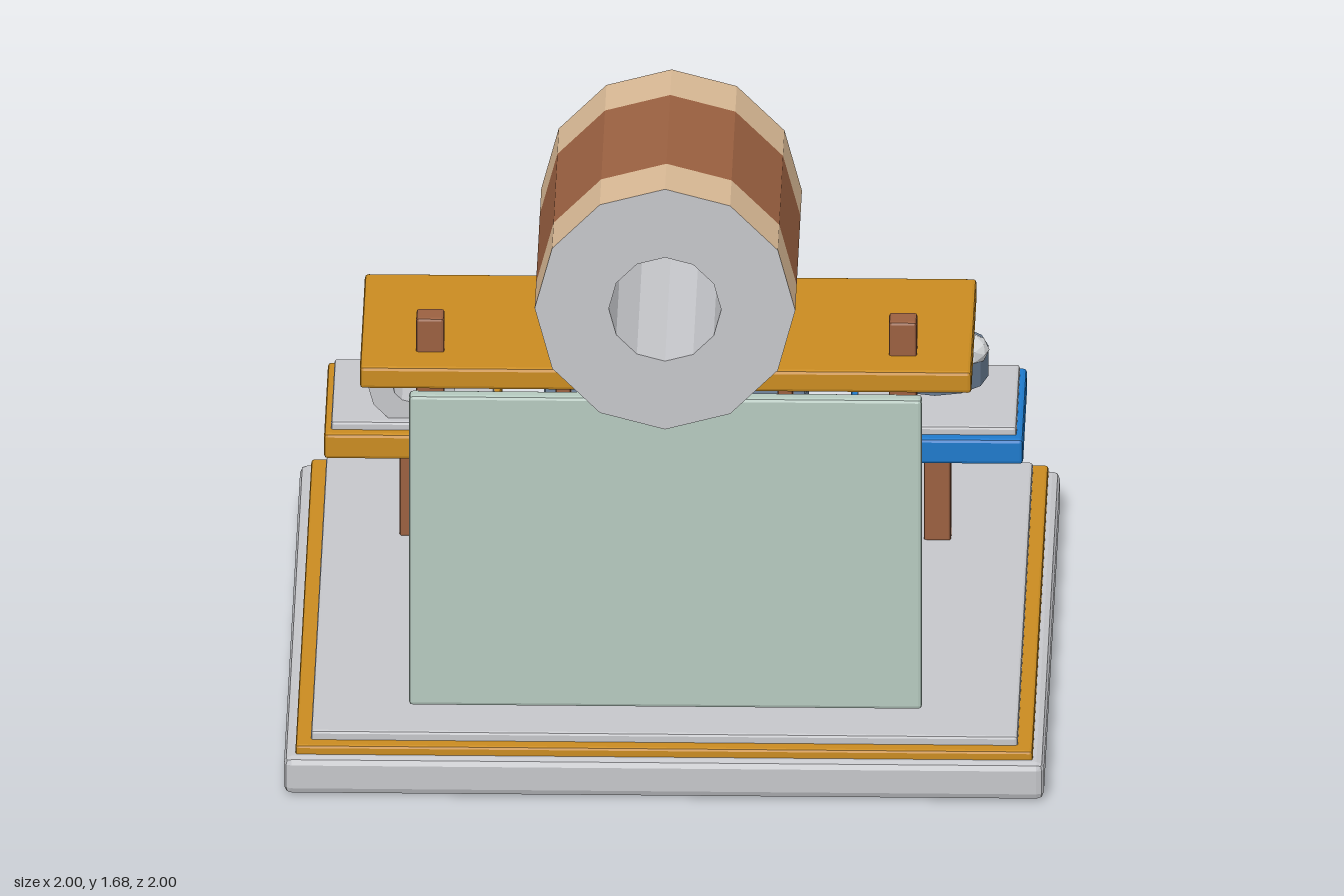
import * as THREE from 'three';
import { RoundedBoxGeometry } from 'three/addons/geometries/RoundedBoxGeometry.js';

const mat = (name, color, side = THREE.FrontSide) =>
  new THREE.MeshStandardMaterial({ name, color, flatShading: true, side });

export function createModel() {
  const grey = mat('paleGrey', 0xc5c6ca);
  const gold = mat('gold', 0xc98b20);
  const brown = mat('brown', 0x9a6040);
  const tan = mat('tan', 0xd8b894);
  const slate = mat('slateBlue', 0x65788e);
  const blue = mat('brightBlue', 0x1e7acb);
  const glass = mat('paleGreen', 0xb5c9bf);
  const white = mat('offWhite', 0xd6d8da);

  const model = new THREE.Group();
  model.name = 'workshopStand';

  const add = (name, geometry, material, x, y, z, parent = model) => {
    const mesh = new THREE.Mesh(geometry, material);
    mesh.name = name;
    mesh.position.set(x, y, z);
    parent.add(mesh);
    return mesh;
  };

  // Box with softened edges, given by its extents
  const block = (name, material, [x0, x1], [y0, y1], [z0, z1], bevel = 0.01) =>
    add(name, new RoundedBoxGeometry(x1 - x0, y1 - y0, z1 - z0, 1, bevel), material,
      (x0 + x1) / 2, (y0 + y1) / 2, (z0 + z1) / 2);

  // Hollow twelve-sided roll along its own y axis: tan ends, brown middle, grey bore
  const roll = (name, radius, bore, length, middle) => {
    const group = new THREE.Group();
    group.name = name;
    const lathe = (part, material, points) => add(part,
      new THREE.LatheGeometry(points.map(([r, y]) => new THREE.Vector2(r, y)), 12),
      material, 0, 0, 0, group);
    const h = length / 2, m = middle / 2;
    lathe('endBandA', tan, [[radius, -h], [radius, -m]]);
    lathe('middleBand', brown, [[radius, -m], [radius, m]]);
    lathe('endBandB', tan, [[radius, m], [radius, h]]);
    lathe('endsAndBore', grey, [[radius, h], [bore, h], [bore, -h], [radius, -h]]);
    model.add(group);
    return group;
  };

  // Layered base
  block('baseSlab', grey, [-1, 1], [0, 0.105], [-1, 1], 0.02);
  block('baseTrim', gold, [-0.97, 0.97], [0.09, 0.13], [-0.97, 0.97], 0.008);
  block('baseFloor', grey, [-0.93, 0.93], [0.12, 0.155], [-0.93, 0.93], 0.008);

  // Front stand: posts, canopy and panel
  for (const s of [-1, 1]) {
    const x = 0.622 * s;
    block('canopyPost', brown, [x - 0.037, x + 0.037], [0.15, 1.23], [0.608, 0.682], 0.008);
  }
  block('canopy', gold, [-0.805, 0.805], [1.073, 1.135], [0.15, 0.79]);
  block('frontPanel', glass, [-0.675, 0.675], [0.175, 1.06], [0.757, 0.803]);

  const bigRoll = roll('bigRoll', 0.343, 0.148, 0.81, 0.465);
  bigRoll.rotation.x = Math.PI / 2;
  bigRoll.position.set(0, 1.337, 0.453);

  // Rear machine with a roll on a shaft between two brackets
  block('machinePost', brown, [-0.035, 0.035], [0.15, 0.36], [-0.465, -0.395], 0.008);
  block('machineBody', slate, [-0.345, 0.345], [0.343, 0.59], [-0.71, -0.158], 0.014);
  for (const s of [-1, 1])
    block('bracket', brown, [0.292 * s - 0.02, 0.292 * s + 0.02], [0.585, 0.79], [-0.595, -0.273], 0.006);
  const shaft = add('shaft', new THREE.CylinderGeometry(0.026, 0.026, 0.74, 8), slate, 0, 0.715, -0.435);
  shaft.rotation.z = Math.PI / 2;
  const machineRoll = roll('machineRoll', 0.117, 0.05, 0.37, 0.21);
  machineRoll.rotation.z = Math.PI / 2;
  machineRoll.position.set(0, 0.723, -0.435);
  const boss = add('backBoss', new THREE.SphereGeometry(1, 10, 6), gold, 0, 0.49, -0.712);
  boss.scale.set(0.168, 0.1, 0.044);

  // Side trays on posts
  for (const [s, rim] of [[-1, gold], [1, blue]]) {
    const x = 0.69 * s;
    block('trayPost', brown, [x - 0.036, x + 0.036], [0.15, 0.48], [-0.466, -0.394], 0.008);
    block('tray', rim, [x - 0.23, x + 0.23], [0.458, 0.53], [-0.68, -0.188]);
    block('trayTop', grey, [x - 0.212, x + 0.212], [0.52, 0.553], [-0.648, -0.22], 0.008);
  }

  const smallRoll = roll('smallRoll', 0.117, 0.052, 0.375, 0.22);
  smallRoll.rotation.x = Math.PI / 2;
  smallRoll.position.set(-0.69, 0.65, -0.435);

  // Dish with a heap of pebbles
  add('dish', new THREE.CylinderGeometry(0.138, 0.138, 0.088, 12), slate, 0.685, 0.652, -0.435);
  for (const [x, z, r, h] of [[0.625, -0.4, 0.075, 0.046], [0.69, -0.432, 0.08, 0.055],
    [0.752, -0.4, 0.075, 0.046], [0.69, -0.385, 0.07, 0.04]]) {
    const pebble = add('pebble', new THREE.IcosahedronGeometry(1, 1), white, x, 0.698, z);
    pebble.scale.set(r, h, r * 0.92);
  }

  return model;
}
